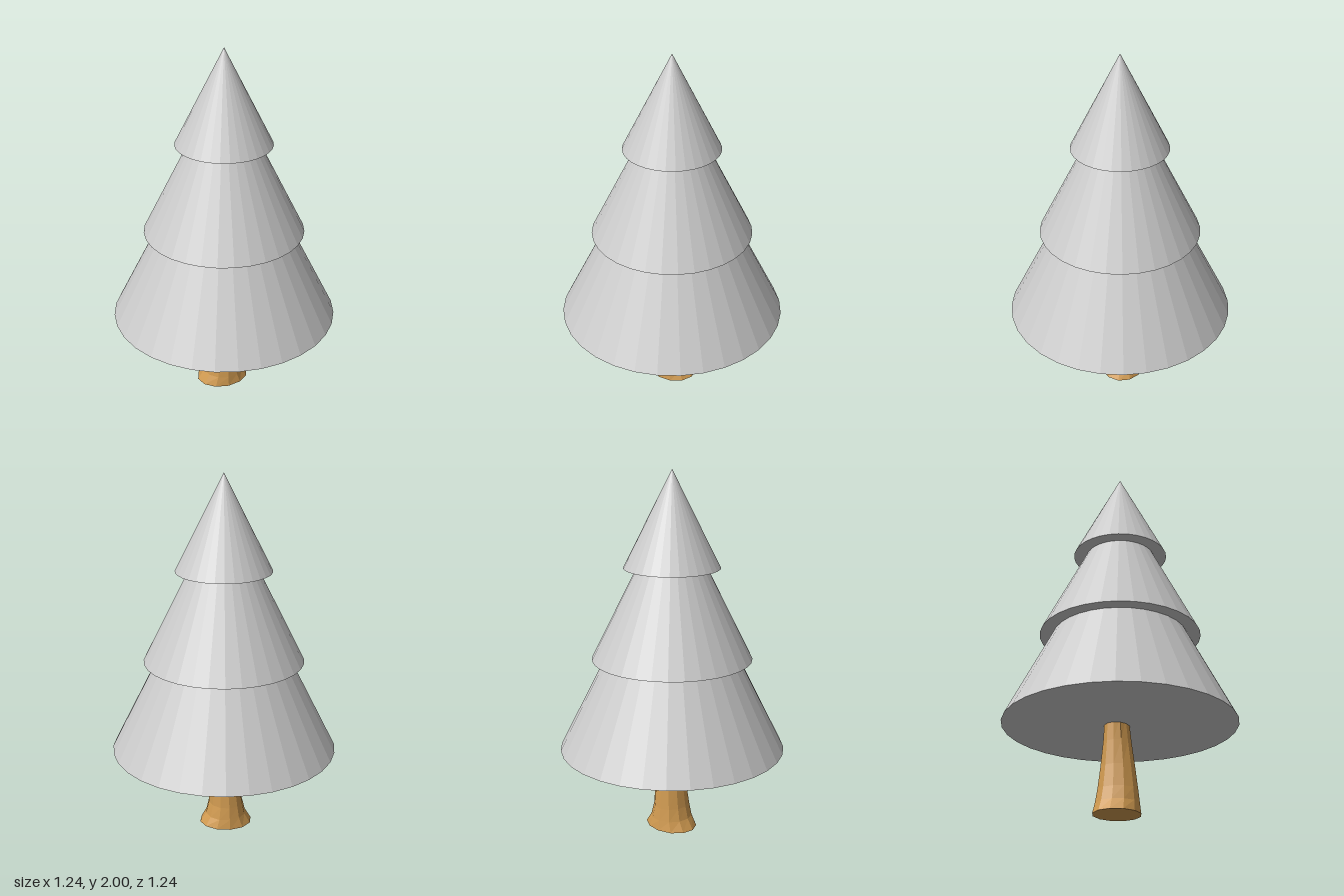
import * as THREE from 'three';

// Faceted mesh with one normal per face
function flatMesh(name, geometry, color) {
  const g = geometry.toNonIndexed();
  g.computeVertexNormals();
  const mesh = new THREE.Mesh(g, new THREE.MeshStandardMaterial({ color, flatShading: true }));
  mesh.name = name;
  return mesh;
}

// Leaning trunk that flares at the foot; sections are [y, xMin, xMax, zMin, zMax]
function createTrunk() {
  const sections = [
    [0.005, -0.155, 0.142, -0.14, 0.11],
    [0.06, -0.12, 0.108, -0.13, 0.103],
    [0.13, -0.103, 0.09, -0.119, 0.095],
    [0.25, -0.086, 0.084, -0.105, 0.079],
    [0.38, -0.076, 0.087, -0.092, 0.06],
    [0.5, -0.071, 0.093, -0.085, 0.046],
  ];
  const rows = sections.length - 1;
  const g = new THREE.CylinderGeometry(1, 1, 1, 12, rows);
  const p = g.attributes.position;
  for (let i = 0; i < p.count; i++) {
    const [y, x0, x1, z0, z1] = sections[Math.round((p.getY(i) + 0.5) * rows)];
    const x = (x0 + x1) / 2 + p.getX(i) * (x1 - x0) / 2;
    const z = (z0 + z1) / 2 + p.getZ(i) * (z1 - z0) / 2;
    // the underside of the foot is slightly uneven
    const lift = y < 0.01 ? 0.03 * (x + 0.155) - 0.005 : 0;
    p.setXYZ(i, x, y + lift, z);
  }
  return flatMesh('trunk', g, 0xd09a50);
}

export function createModel() {
  const tree = new THREE.Group();
  tree.name = 'tree';
  tree.add(createTrunk());

  // Overlapping foliage cones: [name, base y, apex y, radius]
  const tiers = [
    ['lowerFoliage', 0.475, 1.71, 0.62],
    ['middleFoliage', 0.985, 1.86, 0.437],
    ['upperFoliage', 1.483, 2, 0.26],
  ];
  for (const [name, base, apex, radius] of tiers) {
    const cone = flatMesh(name, new THREE.ConeGeometry(radius, apex - base, 32), 0xcccccc);
    cone.position.y = (base + apex) / 2;
    tree.add(cone);
  }
  return tree;
}
